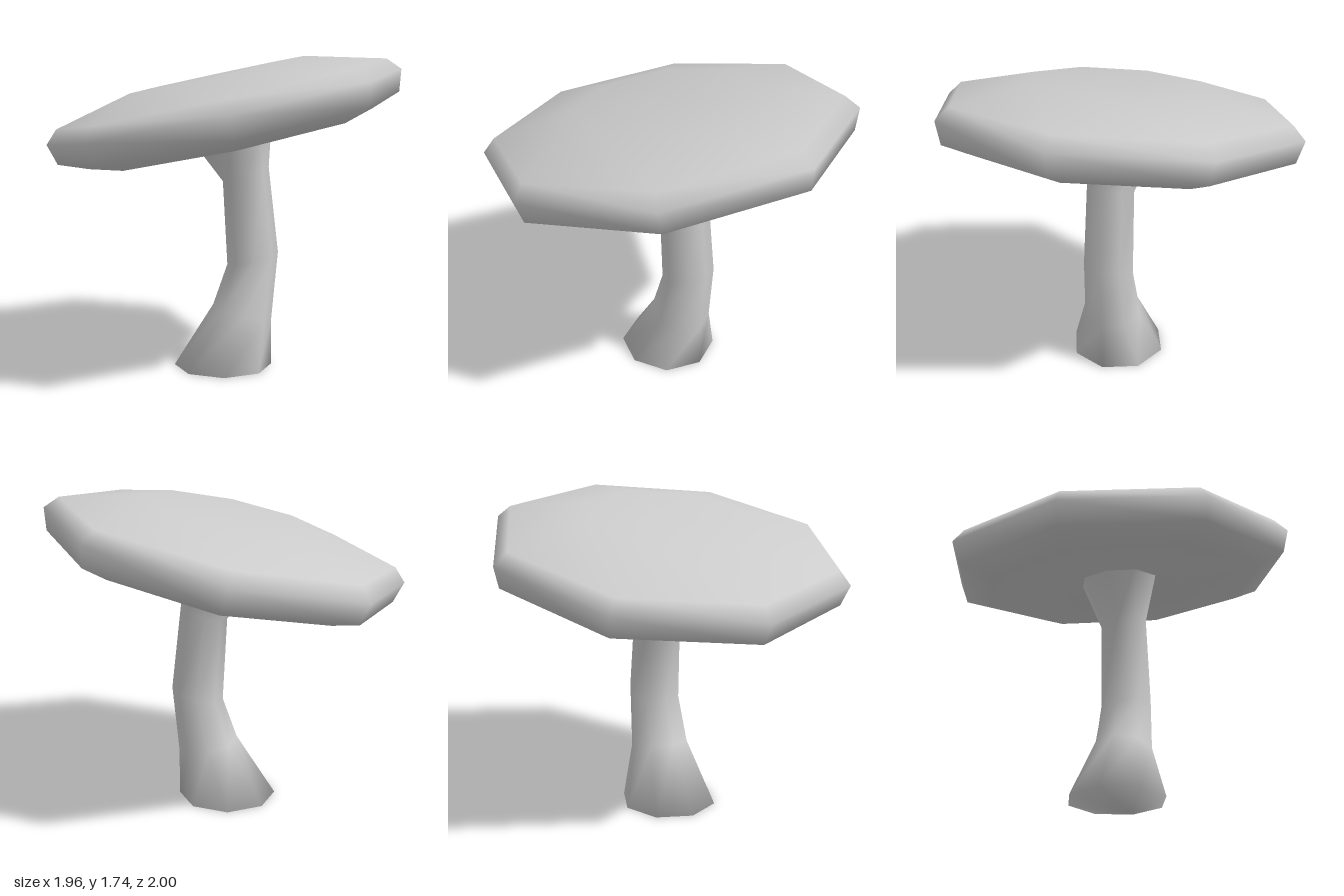
import * as THREE from 'three';

const SIDES = 8;

// Smooth tube through rings given by their left and right edge points and half depth,
// closed at the bottom with a fan that shares the first ring
function ringTube(rings) {
  const pos = [], index = [];
  rings.forEach(([xl, yl, xr, yr, depth], j) => {
    for (let i = 0; i < SIDES; i++) {
      const a = (i / SIDES) * Math.PI * 2;
      const t = (1 + Math.cos(a)) / 2;
      pos.push(xl + (xr - xl) * t, yl + (yr - yl) * t, Math.sin(a) * depth);
      if (j === 0) continue;
      const n = (i + 1) % SIDES;
      const a0 = (j - 1) * SIDES + i, b0 = (j - 1) * SIDES + n;
      const a1 = j * SIDES + i, b1 = j * SIDES + n;
      index.push(a0, a1, b0, b0, a1, b1);
    }
  });
  for (let i = 1; i < SIDES - 1; i++) index.push(0, i, i + 1);
  const geo = new THREE.BufferGeometry();
  geo.setAttribute('position', new THREE.Float32BufferAttribute(pos, 3));
  geo.setIndex(index);
  geo.computeVertexNormals();
  return geo;
}

export function createModel() {
  const group = new THREE.Group();
  group.name = 'mushroom';
  const material = new THREE.MeshStandardMaterial({ color: 0xcccccc, side: THREE.DoubleSide });

  // Bent stem with a closed foot, flaring into the cap
  const stem = new THREE.Mesh(ringTube([
    [-0.28, 0, 0.27, 0, 0.27],
    [-0.06, 0.35, 0.27, 0.27, 0.165],
    [0.02, 0.58, 0.305, 0.65, 0.145],
    [-0.005, 1.05, 0.25, 1.13, 0.135],
    [-0.21, 1.32, 0.265, 1.39, 0.23],
  ]), material);
  stem.name = 'stem';
  group.add(stem);

  // Tilted eight-sided cap: slightly hollow underside, rounded rim, shallow dip on top
  const profile = [
    [0, -0.125], [0.4, -0.145], [0.8, -0.18], [0.965, -0.12], [1, 0],
    [0.93, 0.072], [0.49, 0.18], [0, 0.172],
  ].map(([r, y]) => new THREE.Vector2(r, y));
  const cap = new THREE.Mesh(new THREE.LatheGeometry(profile, SIDES), material);
  cap.name = 'cap';
  cap.position.y = 1.462;
  cap.rotation.z = 0.21;
  group.add(cap);

  return group;
}
